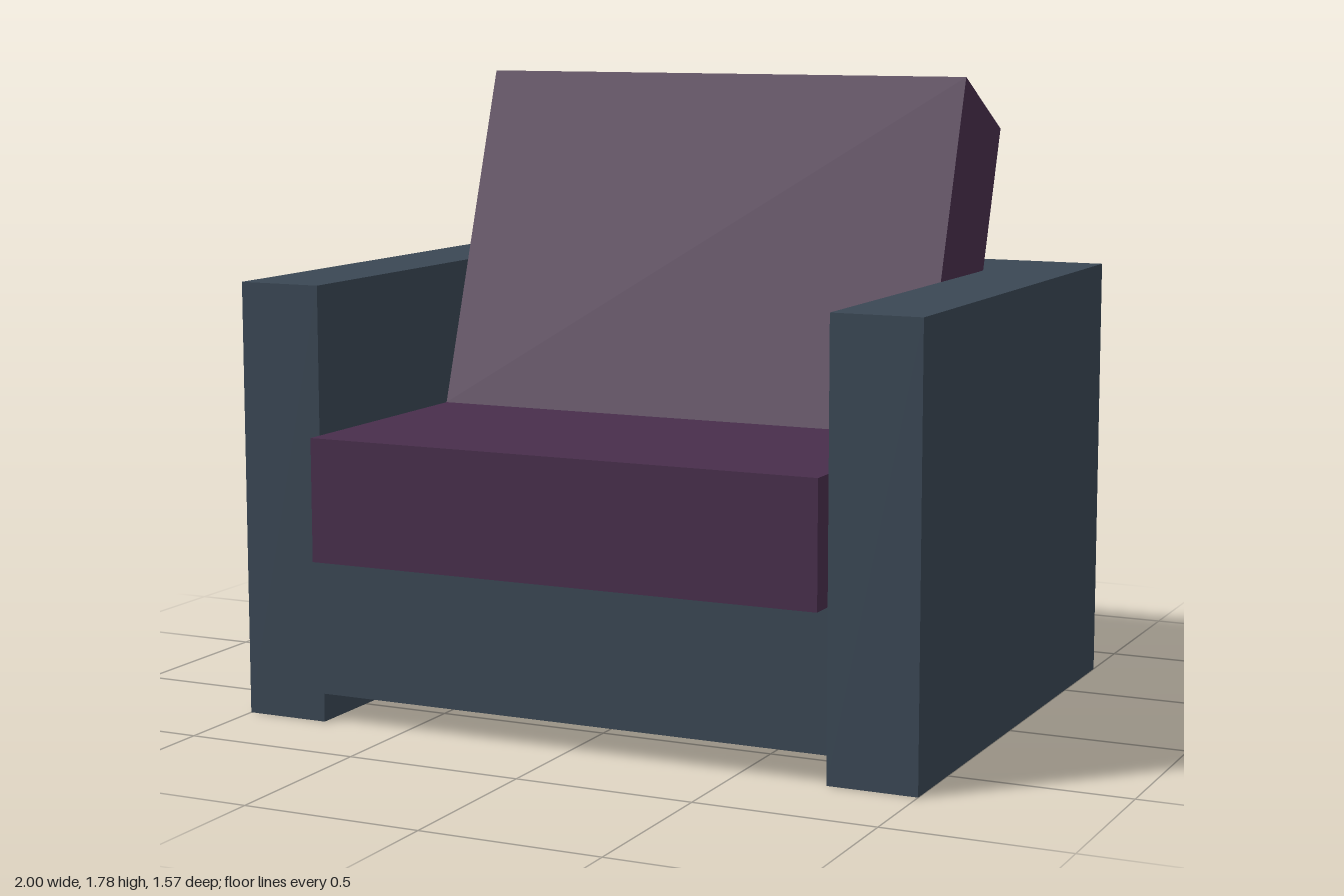
import * as THREE from 'three';

const frameMat = new THREE.MeshStandardMaterial({ color: 0x3a4754 });
const cushionMat = new THREE.MeshStandardMaterial({ color: 0x482e4c });

// Box given by its [min, max] extents on each axis
function box(name, material, [x0, x1], [y0, y1], [z0, z1]) {
  const mesh = new THREE.Mesh(new THREE.BoxGeometry(x1 - x0, y1 - y0, z1 - z0), material);
  mesh.position.set((x0 + x1) / 2, (y0 + y1) / 2, (z0 + z1) / 2);
  mesh.name = name;
  return mesh;
}

export function createModel() {
  const chair = new THREE.Group();
  chair.name = 'armchair';

  const inner = [-0.757, 0.75]; // space between the arms
  const pad = [-0.745, 0.748]; // cushion width
  const depth = [-0.785, 0.72];
  const backFront = -0.425;

  // Frame: arms reach the floor, base and back hang between them
  chair.add(
    box('rightArm', frameMat, [-1, inner[0]], [0, 1.22], depth),
    box('leftArm', frameMat, [inner[1], 1], [0, 1.22], depth),
    box('base', frameMat, inner, [0.08, 0.465], depth),
    box('backPanel', frameMat, inner, [0.465, 1.22], [depth[0], backFront])
  );

  // Seat cushion, jutting out past the front of the frame
  chair.add(box('seatCushion', cushionMat, pad, [0.466, 0.81], [backFront, 0.785]));

  // Leaning back cushion: side profile drawn as (-z, y), extruded across the width
  const profile = new THREE.Shape([
    [-0.042, 0.81], [0.312, 0.81], [0.585, 1.62], [0.282, 1.777],
  ].map(([x, y]) => new THREE.Vector2(x, y)));
  const geometry = new THREE.ExtrudeGeometry(profile, { depth: pad[1] - pad[0], bevelEnabled: false });
  const backCushion = new THREE.Mesh(geometry, cushionMat);
  backCushion.name = 'backCushion';
  backCushion.rotation.y = Math.PI / 2;
  backCushion.position.x = pad[0];
  chair.add(backCushion);

  return chair;
}
